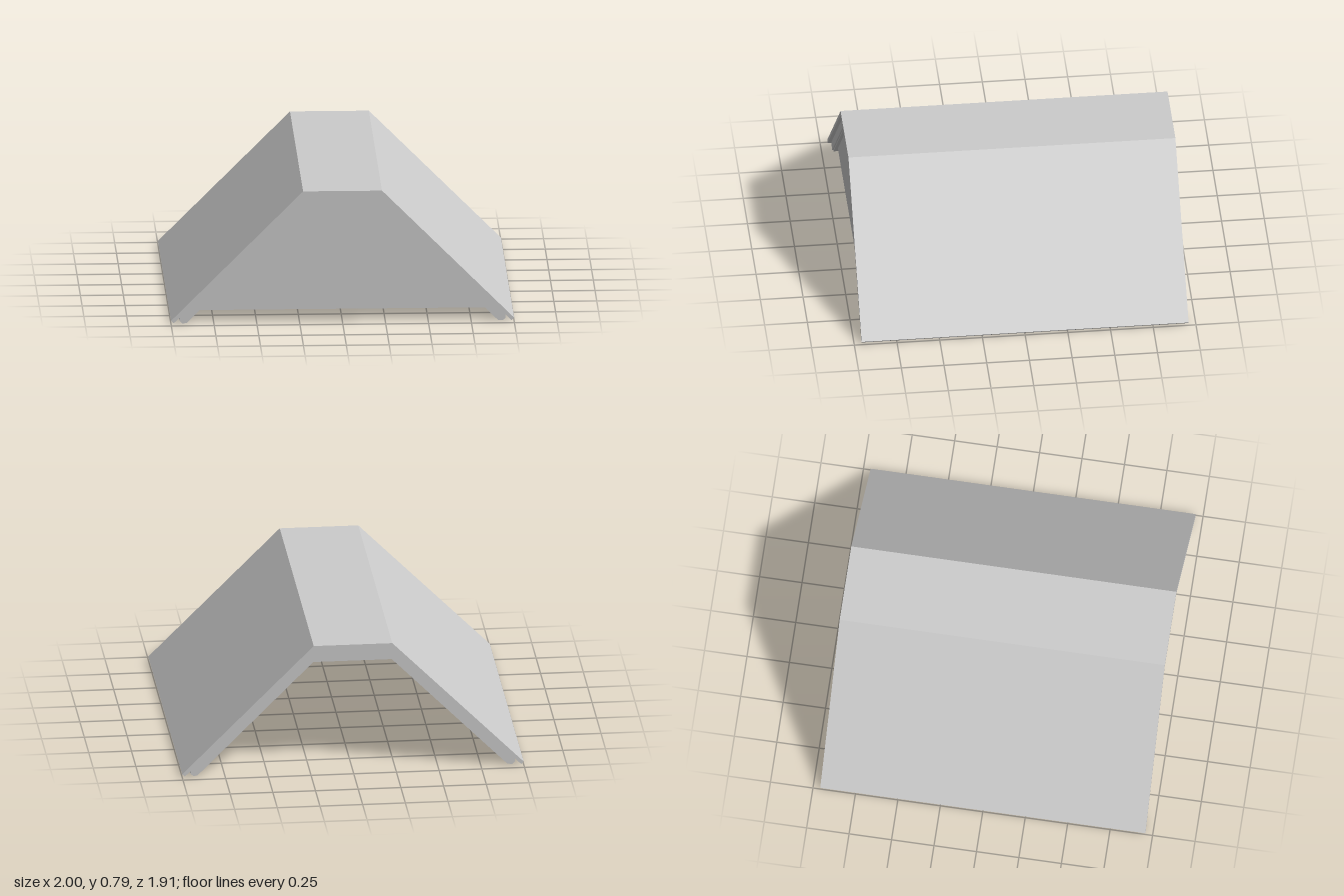
import * as THREE from 'three';

const HALF = 0.957;      // half length of the roof along z
const RIDGE = 0.23;      // half width of the flat ridge

const material = new THREE.MeshStandardMaterial({ color: 0xcccccc, flatShading: true });

// Extrudes a closed outline of [x, y] points between two z positions.
function slab(name, points, z0, z1) {
  const shape = new THREE.Shape(points.map(([x, y]) => new THREE.Vector2(x, y)));
  const geometry = new THREE.ExtrudeGeometry(shape, { depth: z1 - z0, bevelEnabled: false });
  geometry.translate(0, 0, z0);
  const mesh = new THREE.Mesh(geometry, material);
  mesh.name = name;
  return mesh;
}

// Completes a half outline (listed from ridge outwards) with its mirror image.
function mirrored(half) {
  return [...half, ...half.map(([x, y]) => [-x, y]).reverse()];
}

// Arch band: outer half outline going down, inner half outline going back up.
function arch(outer, inner) {
  const flip = (list) => list.map(([x, y]) => [-x, y]);
  return [...flip(outer).reverse(), ...outer, ...inner, ...flip(inner).reverse()];
}

export function createModel() {
  const group = new THREE.Group();
  group.name = 'roof';

  // Roof covering: flat ridge and two 45 degree slopes
  group.add(slab('roofCovering', arch(
    [[RIDGE, 0.79], [1, 0.02]],
    [[0.985, 0.005], [RIDGE, 0.76]]
  ), -HALF, HALF));

  // End frames with a thin set-back lip on the inner edge
  const frame = arch(
    [[RIDGE, 0.76], [0.95, 0.04], [0.95, 0.015], [0.935, 0]],
    [[0.92, 0], [RIDGE, 0.69]]
  );
  const lip = arch([[RIDGE, 0.69], [0.92, 0]], [[0.907, 0], [RIDGE, 0.68]]);
  for (const [name, side] of [['front', 1], ['back', -1]]) {
    const span = (a, b) => (side > 0 ? [a, b] : [-b, -a]);
    group.add(slab(name + 'Frame', frame, ...span(0.83, 0.937)));
    group.add(slab(name + 'FrameLip', lip, ...span(0.835, 0.93)));
  }

  // Eave rails along both lower edges
  const rail = [[0.905, 0.085], [0.905, 0], [0.935, 0], [0.95, 0.015], [0.95, 0.04]];
  group.add(slab('leftEaveRail', rail, -0.83, 0.83));
  group.add(slab('rightEaveRail', rail.map(([x, y]) => [-x, y]), -0.83, 0.83));

  // Gable panel closing the front; the back stays open
  group.add(slab('gablePanel', mirrored([[RIDGE, 0.685], [0.843, 0.072]]), 0.885, 0.912));

  return group;
}
